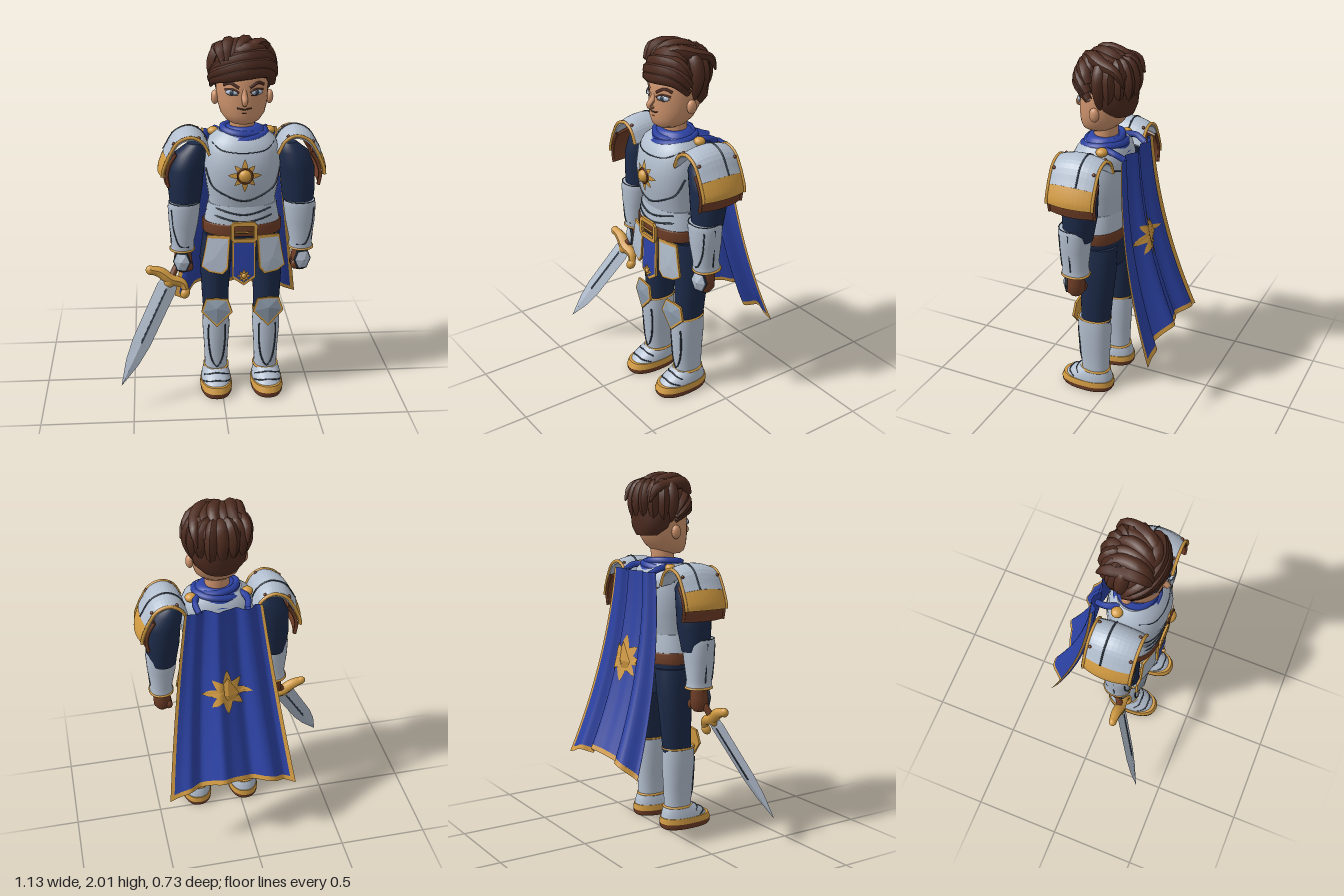
import * as THREE from 'three';

const M = {};
const colours = { skin: 0xcf946d, hair: 0x4e2c20, silver: 0xb2bece, steel: 0x8a98a8, gold: 0xd29b42,
  blue: 0x2c42a4, navy: 0x1c2a48, leather: 0x6e3d26, darkLine: 0x35404e, eyeWhite: 0xb4c4d8 };
for (const [name, c] of Object.entries(colours)) {
  M[name] = new THREE.MeshStandardMaterial({ color: c, side: THREE.DoubleSide });
  M[name].name = name;
}
const X0 = 0.112; // body centre line
const V = (x, y, z) => new THREE.Vector3(x, y, z);
const lerp = THREE.MathUtils.lerp;

export function createModel() {
  const root = new THREE.Group();
  root.name = 'knight';
  let parent = root;
  const add = (name, geo, mat) => {
    const m = new THREE.Mesh(geo, M[mat]);
    m.name = name;
    parent.add(m);
    return m;
  };

  // Point on a ring [y, cx, cz, rx, rz]; angle 0 faces the front
  const onRing = ([y, cx, cz, rx, rz], a, p = 1) => {
    const s = Math.sin(a), c = Math.cos(a);
    return V(cx + rx * Math.sign(s) * Math.abs(s) ** p, y, cz + rz * Math.sign(c) * Math.abs(c) ** p);
  };
  const ringAt = (rings, y) => {
    let i = 0;
    while (i < rings.length - 2 && y > rings[i + 1][0]) i++;
    const t = (y - rings[i][0]) / (rings[i + 1][0] - rings[i][0]);
    return rings[i].map((v, k) => lerp(v, rings[i + 1][k], t));
  };
  // Closed body through elliptical rings, listed from bottom to top
  const loft = (name, rings, mat, { seg = 32, p = 1, flat = false } = {}) => {
    const pos = [], idx = [], n = rings.length;
    const ring = r => { for (let j = 0; j < seg; j++) pos.push(...onRing(r, j / seg * Math.PI * 2, p)); };
    rings.forEach(ring);
    for (let i = 0; i < n - 1; i++) for (let j = 0; j < seg; j++) {
      const a = i * seg + j, b = i * seg + (j + 1) % seg;
      idx.push(a, b, b + seg, a, b + seg, a + seg);
    }
    for (const top of [false, true]) {
      const r = rings[top ? n - 1 : 0], o = pos.length / 3;
      ring(r);
      pos.push(r[1], r[0], r[2]);
      for (let j = 0; j < seg; j++) {
        const a = o + j, b = o + (j + 1) % seg;
        idx.push(o + seg, top ? a : b, top ? b : a);
      }
    }
    let g = new THREE.BufferGeometry();
    g.setAttribute('position', new THREE.Float32BufferAttribute(pos, 3));
    g.setIndex(idx);
    if (flat) g = g.toNonIndexed();
    g.computeVertexNormals();
    return add(name, g, mat);
  };
  const tube = (name, pts, r, mat, closed = false) =>
    add(name, new THREE.TubeGeometry(new THREE.CatmullRomCurve3(pts, closed), closed ? 40 : 20, r, 6, closed), mat);
  const rim = (name, ring, r, mat, p = 1) =>
    tube(name, Array.from({ length: 24 }, (_, i) => onRing(ring, i / 24 * Math.PI * 2, p)), r, mat, true);
  // Engraved line on a lofted surface through [angle, y] pairs
  const seam = (rings, pairs, p = 1, r = 0.004, mat = 'darkLine') =>
    tube('seam', pairs.map(([a, y]) => onRing(ringAt(rings, y), a, p)), r, mat);
  // Tapered lock: a tube whose radius swells then thins
  const lock = (name, pts, r, mat, thin = 0.15) => {
    const c = new THREE.CatmullRomCurve3(pts), n = 18, g = new THREE.TubeGeometry(c, n, 1, 8);
    const P = g.attributes.position, v = V(0, 0, 0);
    for (let i = 0; i < P.count; i++) {
      const t = Math.floor(i / 9) / n, o = c.getPointAt(t);
      v.fromBufferAttribute(P, i).sub(o).multiplyScalar(r * (thin + (1 - thin) * Math.sin(Math.PI * (0.12 + 0.88 * t)))).add(o);
      P.setXYZ(i, v.x, v.y, v.z);
    }
    g.computeVertexNormals();
    return add(name, g, mat);
  };
  const ball = (name, x, y, z, sx, sy, sz, mat) => {
    const m = add(name, new THREE.SphereGeometry(1, 20, 14), mat);
    m.position.set(x, y, z);
    m.scale.set(sx, sy, sz);
    return m;
  };
  // Edged plate: border slab with a slightly domed face in front
  const plate = (name, pts, at, rot, face, edge = 'gold', peak = 0.02, inset = 0.86) => {
    const group = new THREE.Group(), keep = parent;
    group.name = name;
    keep.add(group);
    parent = group;
    const p = pts.map(q => new THREE.Vector2(...q));
    if (THREE.ShapeUtils.isClockWise(p)) p.reverse();
    const c = p.reduce((s, q) => s.add(q), new THREE.Vector2()).divideScalar(p.length);
    add(name + 'Edge', new THREE.ExtrudeGeometry(new THREE.Shape(p), { depth: 0.012, bevelEnabled: false }), edge);
    const pos = [], q = p.map(k => k.clone().sub(c).multiplyScalar(inset).add(c));
    q.forEach((a, i) => {
      const b = q[(i + 1) % q.length];
      pos.push(c.x, c.y, 0.014 + peak, a.x, a.y, 0.014, b.x, b.y, 0.014);
    });
    const g = new THREE.BufferGeometry();
    g.setAttribute('position', new THREE.Float32BufferAttribute(pos, 3));
    g.computeVertexNormals();
    add(name + 'Face', g, face);
    group.position.set(...at);
    group.rotation.set(...rot);
    parent = keep;
  };
  // Eight-pointed sun draped on a surface
  const sun = (name, map) => {
    const g = new THREE.RingGeometry(0.001, 1, 64, 6), P = g.attributes.position;
    for (let i = 0; i < P.count; i++) {
      const x = P.getX(i), y = P.getY(i), k = (Math.atan2(y, x) / (Math.PI / 4)) + 8;
      const s = 1 - 2 * Math.abs(k - Math.round(k)), tip = Math.round(k) % 2 ? 0.85 : 1;
      const f = 0.48 + (tip - 0.48) * s ** 1.3, v = map(x * f, y * f);
      P.setXYZ(i, v.x, v.y, v.z);
    }
    g.computeVertexNormals();
    add(name, g, 'gold');
  };

  // Torso armour
  const chest = [[1.08, X0, 0.1, 0.18, 0.125], [1.15, X0, 0.1, 0.182, 0.14], [1.23, X0, 0.1, 0.195, 0.158],
    [1.32, X0, 0.1, 0.204, 0.167], [1.41, X0, 0.095, 0.2, 0.157], [1.47, X0, 0.085, 0.178, 0.135], [1.51, X0, 0.08, 0.13, 0.095]];
  loft('breastplate', chest, 'silver', { p: 0.88 });
  seam(chest, [[-1.3, 1.32], [-1, 1.23], [-0.6, 1.195], [0, 1.155], [0.6, 1.195], [1, 1.23], [1.3, 1.32]], 0.88, 0.005);
  seam(chest, [[-1.1, 1.46], [-0.6, 1.43], [0, 1.42], [0.6, 1.43], [1.1, 1.46]], 0.88, 0.003);
  seam(chest, [[1.9, 1.42], [2.6, 1.38], [Math.PI, 1.36], [3.7, 1.38], [4.4, 1.42]], 0.88);
  const faulds = [[1.01, X0, 0.1, 0.207, 0.142], [1.06, X0, 0.1, 0.198, 0.139], [1.12, X0, 0.1, 0.186, 0.133]];
  loft('waistPlates', faulds, 'silver', { p: 0.88 });
  for (const y of [1.06, 1.1]) seam(faulds, [[-1.5, y + 0.012], [-0.7, y], [0, y - 0.025], [0.7, y], [1.5, y + 0.012]], 0.88, 0.005);
  sun('chestSun', (x, y) => V(X0 + x * 0.09, 1.305 + y * 0.09, 0.277 - 0.016 * x * x - 0.008 * y * y));
  ball('sunBoss', X0, 1.305, 0.28, 0.034, 0.034, 0.025, 'gold');
  const ring = rim('sunRing', [0, 0, 0, 0.039, 0.039], 0.005, 'leather');
  ring.position.set(X0, 1.305, 0.279);
  ring.rotation.x = Math.PI / 2;

  // Belt, buckle and hips
  loft('hips', [[0.78, X0, 0.07, 0.13, 0.09], [0.86, X0, 0.07, 0.2, 0.108], [0.98, X0, 0.08, 0.2, 0.125]], 'navy', { p: 0.9 });
  loft('belt', [[0.955, X0, 0.1, 0.212, 0.143], [0.962, X0, 0.1, 0.217, 0.148], [1.013, X0, 0.1, 0.217, 0.148], [1.02, X0, 0.1, 0.212, 0.143]], 'leather', { p: 0.88 });
  const frame = new THREE.Shape([[-0.072, -0.04], [-0.055, -0.058], [0.055, -0.058], [0.072, -0.04], [0.072, 0.04], [0.055, 0.058], [-0.055, 0.058], [-0.072, 0.04]].map(p => new THREE.Vector2(...p)));
  frame.holes.push(new THREE.Path([[-0.052, -0.036], [-0.052, 0.036], [0.052, 0.036], [0.052, -0.036]].map(p => new THREE.Vector2(...p))));
  add('buckle', new THREE.ExtrudeGeometry(frame, { depth: 0.014, bevelEnabled: false }), 'gold').position.set(X0, 0.983, 0.246);
  tube('bucklePin', [V(X0 - 0.05, 0.985, 0.258), V(X0 + 0.05, 0.985, 0.258)], 0.005, 'gold');

  // Hanging cloth with a small sun
  plate('tabard', [[-0.064, 0.12], [0.064, 0.12], [0.064, -0.1], [0, -0.145], [-0.064, -0.1]], [X0, 0.82, 0.236], [-0.03, 0, 0], 'blue', 'gold', 0.002, 0.86);
  sun('tabardSun', (x, y) => V(X0 + x * 0.043, 0.735 + y * 0.043, 0.262));
  ball('tabardBoss', X0, 0.735, 0.262, 0.014, 0.014, 0.012, 'gold');

  for (const s of [-1, 1]) {
    const side = s < 0 ? 'right' : 'left', x = d => X0 + s * d;
    // Tasset
    plate(side + 'Tasset', [[0.068, 0.955], [0.195, 0.955], [0.212, 0.86], [0.23, 0.775], [0.185, 0.745], [0.11, 0.735], [0.08, 0.77]].map(([d, y]) => [s * (d - 0.15), y - 0.85]),
      [x(0.15), 0.85, 0.212], [-0.06, s * 0.25, 0], 'silver', 'gold', 0.006, 0.88);

    // Leg
    loft(side + 'Thigh', [[0.44, x(0.142), 0.085, 0.07, 0.085], [0.6, x(0.145), 0.075, 0.077, 0.092], [0.78, x(0.143), 0.065, 0.088, 0.102], [0.93, x(0.122), 0.07, 0.09, 0.105]], 'navy');
    const shin = [[0.09, x(0.142), 0.09, 0.07, 0.083], [0.14, x(0.142), 0.09, 0.064, 0.08], [0.25, x(0.142), 0.092, 0.068, 0.087], [0.38, x(0.142), 0.093, 0.077, 0.096], [0.47, x(0.142), 0.093, 0.073, 0.093]];
    loft(side + 'Greave', shin, 'silver', { p: 0.9 });
    rim(side + 'GreaveTopRim', shin[4], 0.006, 'gold', 0.9);
    rim(side + 'AnkleRim', [0.125, x(0.142), 0.09, 0.067, 0.082], 0.007, 'gold', 0.9);
    seam(shin, [[-0.6, 0.41], [-0.65, 0.33], [-0.45, 0.2], [0, 0.14], [0.45, 0.2], [0.65, 0.33], [0.6, 0.41]], 0.9, 0.005);
    plate(side + 'KneePlate', [[-0.062, 0.058], [0, 0.062], [0.062, 0.058], [0.087, -0.015], [0, -0.105], [-0.087, -0.015]], [x(0.142), 0.51, 0.185], [-0.1, s * 0.1, 0], 'steel', 'gold', 0.014, 0.87);

    // Foot
    const cx = x(0.145);
    loft(side + 'Sole', [[0, cx, 0.14, 0.083, 0.15], [0.012, cx, 0.14, 0.089, 0.158], [0.036, cx, 0.14, 0.089, 0.158]], 'leather', { p: 0.85 });
    loft(side + 'WeltTrim', [[0.032, cx, 0.14, 0.091, 0.161], [0.065, cx, 0.135, 0.086, 0.152]], 'gold', { p: 0.85 });
    const shoe = [[0.055, cx, 0.132, 0.085, 0.146], [0.085, cx, 0.122, 0.08, 0.13], [0.11, cx, 0.105, 0.072, 0.105], [0.13, cx, 0.095, 0.065, 0.085]];
    loft(side + 'Sabaton', shoe, 'silver', { p: 0.88 });
    for (const y of [0.085, 0.112]) seam(shoe, [[-1.1, y - 0.015], [-0.5, y], [0, y + 0.006], [0.5, y], [1.1, y - 0.015]], 0.88, 0.004);

    // Arm
    loft(side + 'UpperArm', [[1.05, x(0.312), 0.095, 0.075, 0.08], [1.18, x(0.308), 0.085, 0.092, 0.094], [1.3, x(0.3), 0.085, 0.096, 0.097], [1.39, x(0.275), 0.085, 0.085, 0.09], [1.44, x(0.25), 0.085, 0.045, 0.05]], 'navy');
    const cuff = [[0.845, x(0.328), 0.105, 0.066, 0.075], [0.89, x(0.325), 0.108, 0.061, 0.07], [1.0, x(0.32), 0.11, 0.08, 0.082], [1.09, x(0.316), 0.11, 0.088, 0.088], [1.12, x(0.314), 0.11, 0.083, 0.084]];
    loft(side + 'Vambrace', cuff, 'silver', { p: 0.9 });
    rim(side + 'CuffRim', [0.848, x(0.328), 0.105, 0.064, 0.073], 0.007, 'gold', 0.9);
    rim(side + 'ElbowRim', cuff[4], 0.003, 'darkLine', 0.9);
    seam(cuff, [[s * 0.9, 1.09], [s * 0.7, 0.95], [s * 0.2, 0.88], [-s * 0.5, 0.875]], 0.9);
    seam(cuff, [[s * 1.57, 0.88], [s * 1.57, 1.1]], 0.9);

    // Gauntlet
    loft(side + 'Glove', [[0.715, x(0.325), 0.11, 0.03, 0.03], [0.74, x(0.325), 0.112, 0.048, 0.052], [0.79, x(0.325), 0.11, 0.05, 0.052], [0.86, x(0.326), 0.105, 0.04, 0.045]], 'leather');
    plate(side + 'HandPlate', [[-0.03, 0.05], [0.03, 0.05], [0.05, 0], [0.025, -0.055], [-0.025, -0.055], [-0.05, 0]], [x(0.33), 0.785, 0.15], [0, s * 0.3, 0], 'silver', 'darkLine', 0.018, 0.86);
    for (let i = 0; i < 4; i++) ball(side + 'Finger', x(0.292), 0.75, 0.075 + i * 0.024, 0.022, 0.026, 0.014, 'leather');

    // Shoulder armour: barrel-curved strips, drawn in toward the arm at front and back
    const bulge = (px, py, z) => {
      const k = 1 - 0.11 * ((z - 0.08) / 0.13) ** 2;
      return V(x(0.24) + (px - x(0.24)) * k, 1.27 + (py - 1.27) * k, z);
    };
    const strip = (name, pts, mat, trim) => {
      const outer = new THREE.CatmullRomCurve3(pts.map(([d, y]) => V(x(d), y, 0))).getPoints(16);
      const inner = outer.map(p => V(lerp(x(0.24), p.x, 0.93), lerp(1.27, p.y, 0.93), 0)).reverse();
      const g = new THREE.ExtrudeGeometry(new THREE.Shape([...outer, ...inner].map(p => new THREE.Vector2(p.x, p.y))), { depth: 0.26, steps: 10, bevelEnabled: false });
      g.translate(0, 0, -0.05);
      const P = g.attributes.position;
      for (let i = 0; i < P.count; i++) P.setXYZ(i, ...bulge(P.getX(i), P.getY(i), P.getZ(i)));
      g.computeVertexNormals();
      add(name, g, mat);
      const along = (z, r, m) => tube(name + 'Trim', outer.map(p => bulge(p.x, p.y, z)), r, m);
      for (const z of [-0.05, 0.21]) along(z, 0.009, trim);
      if (mat === 'silver') along(0.045, 0.005, 'darkLine');
    };
    strip(side + 'ShoulderPlate', [[0.175, 1.42], [0.215, 1.495], [0.28, 1.528], [0.36, 1.5], [0.425, 1.4]], 'silver', 'gold');
    strip(side + 'ShoulderBand', [[0.418, 1.41], [0.44, 1.36], [0.453, 1.32], [0.456, 1.29]], 'gold', 'gold');
    strip(side + 'ShoulderLining', [[0.375, 1.43], [0.415, 1.36], [0.43, 1.29], [0.42, 1.225]], 'leather', 'leather');
    for (const z of [-0.032, 0.192]) for (const [d, y] of [[0.235, 1.513], [0.38, 1.481]]) ball('rivet', ...bulge(x(d), y, z), 0.009, 0.009, 0.009, 'leather');

    // Cape clasp and shoulder strap
    ball(side + 'Clasp', x(0.152), 1.49, 0.03, 0.032, 0.024, 0.032, 'gold');
    tube(side + 'CapeStrap', [V(x(0.1), 1.49, 0.06), V(x(0.14), 1.49, -0.03), V(x(0.13), 1.46, -0.09)], 0.018, 'blue');
  }

  // Neck scarf
  loft('scarf', [[1.45, X0, 0.08, 0.15, 0.135], [1.49, X0, 0.08, 0.14, 0.12], [1.53, X0, 0.08, 0.105, 0.088], [1.535, X0, 0.08, 0.08, 0.07]], 'blue');
  [[1.485, 0.125, 0.12, 0.02], [1.512, 0.105, -0.1, 0.02]].forEach(([y, r, tilt, th]) => {
    const m = rim('scarfFold', [0, 0, 0, r, r * 0.88], th, 'blue');
    m.position.set(X0, y, 0.085);
    m.rotation.set(0.1, 0, tilt);
  });

  // Cape surface: u runs across, v runs down; folds push it backward
  const folds = new THREE.CatmullRomCurve3([0, -0.035, 0.03, 0.03, -0.02, 0, 0.015, 0.04, -0.01, -0.036, 0.015, 0.01, 0.015].map((f, i) => V(i / 12, f, 0)));
  const cape = (u, v, out = 0) => {
    const f = folds.getPoint(THREE.MathUtils.clamp(u, 0, 1)).y;
    return V(X0 + (u - 0.5) * (0.42 + 0.31 * v), lerp(1.475, 0.455 - 0.08 * (2 * u - 1) ** 2 + f * 0.6, v),
      -0.1 - 0.03 * v - 0.19 * v * v - f * (0.55 + 0.45 * v) - out);
  };
  const sheet = (name, u0, u1, v0, v1, mat) => {
    const g = new THREE.PlaneGeometry(1, 1, Math.ceil((u1 - u0) * 56), 24), P = g.attributes.position;
    for (let i = 0; i < P.count; i++) P.setXYZ(i, ...cape(lerp(u0, u1, P.getX(i) + 0.5), lerp(v0, v1, 0.5 - P.getY(i))));
    g.computeVertexNormals();
    add(name, g, mat);
  };
  sheet('cape', 0.032, 0.968, 0, 0.975, 'blue');
  sheet('capeHem', 0, 1, 0.975, 1, 'gold');
  for (const u of [0, 0.968]) sheet('capeSideTrim', u, u + 0.032, 0, 0.975, 'gold');
  sun('capeSun', (x, y) => cape(0.5 + x * 0.14 / 0.569, 0.48 - y * 0.13, 0.008));
  const gem = add('capeSunDiamond', new THREE.OctahedronGeometry(1), 'gold');
  gem.position.set(X0, 0.975, cape(0.5, 0.48).z - 0.008);
  gem.scale.set(0.065, 0.11, 0.02);

  // Head
  loft('neck', [[1.48, X0, 0.08, 0.066, 0.062], [1.62, X0, 0.075, 0.066, 0.065]], 'skin');
  const head = [[1.56, X0, 0.125, 0.06, 0.06], [1.575, X0, 0.115, 0.088, 0.088], [1.61, X0, 0.098, 0.116, 0.114], [1.66, X0, 0.083, 0.131, 0.132],
    [1.72, X0, 0.073, 0.138, 0.142], [1.78, X0, 0.068, 0.138, 0.144], [1.84, X0, 0.065, 0.128, 0.136], [1.9, X0, 0.06, 0.08, 0.09]];
  loft('head', head, 'skin');
  lock('nose', [V(X0, 1.75, 0.203), V(X0, 1.715, 0.216), V(X0, 1.684, 0.24), V(X0, 1.668, 0.21)], 0.016, 'skin', 0.5);
  seam(head, [[-0.3, 1.652], [-0.1, 1.648], [0, 1.645], [0.1, 1.648], [0.3, 1.652]], 1, 0.004, 'hair');
  seam(head, [[-0.1, 1.625], [0.1, 1.625]], 1, 0.002, 'hair');
  for (const s of [-1, 1]) {
    ball('ear', X0 + s * 0.145, 1.685, 0.075, 0.021, 0.038, 0.027, 'skin');
    const e = onRing(ringAt(head, 1.733), s * 0.5);
    ball('eye', e.x, e.y, e.z, 0.035, 0.014, 0.01, 'eyeWhite').rotation.y = s * 0.45;
    ball('iris', e.x, e.y, e.z + 0.007, 0.013, 0.013, 0.006, 'darkLine').rotation.y = s * 0.45;
    seam(head, [[s * 0.2, 1.733], [s * 0.45, 1.749], [s * 0.8, 1.743]], 1, 0.006, 'hair');
    seam(head, [[s * 0.24, 1.72], [s * 0.5, 1.718], [s * 0.75, 1.727]], 1, 0.003, 'hair');
    seam(head, [[s * 0.2, 1.758], [s * 0.55, 1.782], [s * 0.85, 1.768]], 1, 0.008, 'hair');
  }

  // Hair: cap, back locks, crown locks and a fringe swept to the right
  loft('hairCap', [[1.665, X0, 0, 0.09, 0.075], [1.71, X0, 0.005, 0.135, 0.095], [1.77, X0, 0.015, 0.15, 0.11], [1.81, X0, 0.045, 0.155, 0.14],
    [1.86, X0, 0.06, 0.155, 0.155], [1.91, X0, 0.065, 0.13, 0.13], [1.945, X0, 0.06, 0.07, 0.08]], 'hair');
  for (let i = 0; i < 9; i++) {
    const a = Math.PI * (0.52 + i / 8 * 0.96), p = (r, y) => V(X0 + Math.sin(a) * r * 1.12, y, 0.055 + Math.cos(a) * r);
    lock('backLock', [p(0.03, 1.93), p(0.1, 1.94), p(0.135, 1.86), p(0.128, 1.77), p(0.1, 1.69 + 0.02 * (i % 3))], 0.038, 'hair');
  }
  for (let i = 0; i < 6; i++) {
    const k = (i - 2.5) / 2.5, h = 0.012 * (i % 2);
    lock('crownLock', [V(X0 - 0.06 + k * 0.05, 1.89, 0.18), V(X0 - 0.03 + k * 0.09, 1.95 + h, 0.13), V(X0 + k * 0.115, 1.958 + h - 0.025 * k * k, 0.04), V(X0 + k * 0.135, 1.92, -0.045), V(X0 + k * 0.13, 1.85, -0.085)], 0.038, 'hair');
  }
  for (const [h, w, r] of [[0, 0, 0.038], [0.035, 0.008, 0.046], [0.075, 0, 0.046], [0.11, -0.035, 0.04]]) {
    lock('fringeLock', [V(X0 + 0.155 + w, 1.765 + h * 1.1, 0.1), V(X0 + 0.125 + w, 1.83 + h, 0.165 - h * 0.4), V(X0 + 0.03, 1.838 + h, 0.205 - h * 0.45),
      V(X0 - 0.09 - w, 1.812 + h * 0.85, 0.18 - h * 0.4), V(X0 - 0.155 - w, 1.785 + h * 0.6, 0.12 - h * 0.3), V(X0 - 0.165, 1.745 + h * 0.5, 0.06)], r, 'hair', 0.25);
  }

  // Sword, with local -y running down the blade
  const sword = new THREE.Group();
  sword.name = 'sword';
  root.add(sword);
  const up = V(0.277, 0.525, -0.215).normalize(), across = V(0.2, -0.12, 0.01);
  across.addScaledVector(up, -across.dot(up)).normalize();
  sword.quaternion.setFromRotationMatrix(new THREE.Matrix4().makeBasis(across, up, across.clone().cross(up)));
  sword.position.set(-0.285, 0.68, 0.15);
  parent = sword;
  loft('blade', [[-0.637, 0, 0, 0.001, 0.001], [-0.5, 0, 0, 0.038, 0.01], [-0.38, 0, 0, 0.053, 0.013], [-0.05, 0, 0, 0.057, 0.015], [0, 0, 0, 0.045, 0.015]], 'silver', { seg: 4, flat: true });
  add('fuller', new THREE.BoxGeometry(0.01, 0.33, 0.031), 'darkLine').position.y = -0.22;
  lock('guard', [V(-0.13, 0, 0), V(-0.07, 0.012, 0), V(0, 0, 0), V(0.07, 0.008, 0), V(0.115, -0.03, 0)], 0.032, 'gold', 0.5);
  ball('guardTip', 0.108, -0.035, 0, 0.026, 0.032, 0.024, 'gold');
  ball('guardTip', -0.122, 0, 0, 0.028, 0.026, 0.022, 'gold');
  ball('guardBoss', 0, -0.005, 0, 0.035, 0.045, 0.026, 'gold');
  add('grip', new THREE.CylinderGeometry(0.017, 0.019, 0.17, 12), 'leather').position.y = 0.09;
  ball('pommel', 0, 0.18, 0, 0.022, 0.022, 0.022, 'gold');
  return root;
}
